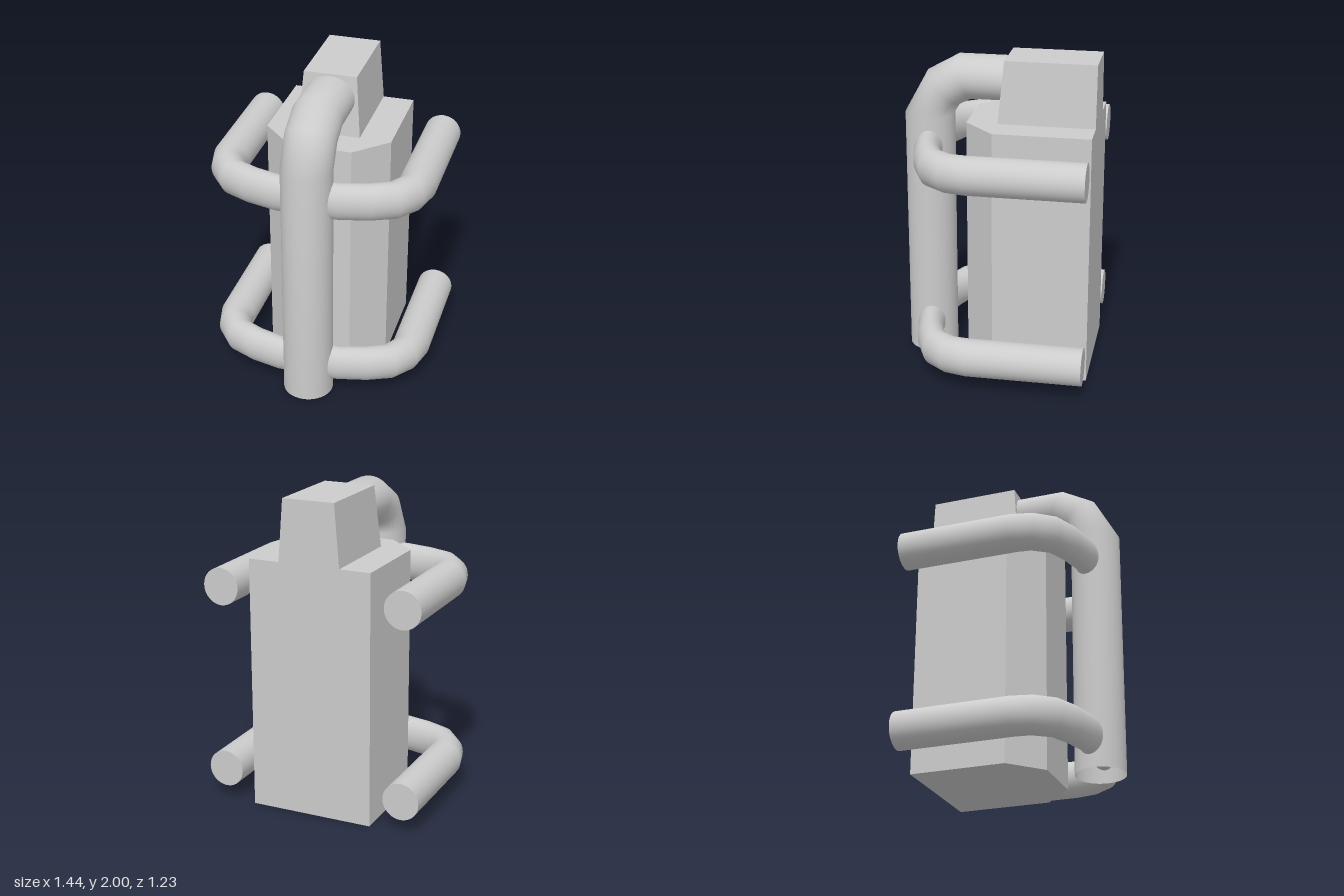
import * as THREE from 'three';

const grey = new THREE.MeshStandardMaterial({ color: 0xcccccc });
const greyOpen = new THREE.MeshStandardMaterial({ color: 0xcccccc, side: THREE.DoubleSide });
const greyFlat = new THREE.MeshStandardMaterial({ color: 0xcccccc, flatShading: true });
const V = (x, y, z) => new THREE.Vector3(x, y, z);

// Bent pipe: each ring is an ellipse spanning an [outer, inner] pair of points,
// with 'side' as its second half axis
function pipe(rings, side, capped, sides = 32) {
  const pos = [], index = [];
  const addRing = ([outer, inner]) => {
    const mid = outer.clone().add(inner).multiplyScalar(0.5);
    const half = outer.clone().sub(mid);
    for (let j = 0; j < sides; j++) {
      const a = (j / sides) * Math.PI * 2;
      const p = mid.clone().addScaledVector(half, Math.cos(a)).addScaledVector(side, Math.sin(a));
      pos.push(p.x, p.y, p.z);
    }
    return mid;
  };
  rings.forEach(addRing);
  for (let i = 0; i < rings.length - 1; i++) {
    for (let j = 0; j < sides; j++) {
      const k = (j + 1) % sides;
      const a = i * sides + j, b = i * sides + k, c = b + sides, d = a + sides;
      index.push(a, b, c, a, c, d);
    }
  }
  // Flat end caps on their own vertices keep the rims sharp
  if (capped) {
    [rings[0], rings[rings.length - 1]].forEach((ring, end) => {
      const start = pos.length / 3;
      const mid = addRing(ring);
      pos.push(mid.x, mid.y, mid.z);
      for (let j = 0; j < sides; j++) {
        const a = start + j, b = start + (j + 1) % sides;
        index.push(start + sides, end ? a : b, end ? b : a);
      }
    });
  }
  const geo = new THREE.BufferGeometry();
  geo.setAttribute('position', new THREE.Float32BufferAttribute(pos, 3));
  geo.setIndex(index);
  geo.computeVertexNormals();
  return geo;
}

export function createModel() {
  const model = new THREE.Group();
  const add = (name, geo, mat) => {
    const mesh = new THREE.Mesh(geo, mat);
    mesh.name = name;
    model.add(mesh);
    return mesh;
  };

  // Main body: box with chamfered front corners, extruded upwards
  const plan = new THREE.Shape(
    [[-0.4, 0.615], [0.4, 0.615], [0.4, 0.01], [0.2, -0.185], [-0.2, -0.185], [-0.4, 0.01]]
      .map(([x, y]) => new THREE.Vector2(x, y)));
  const body = new THREE.ExtrudeGeometry(plan, { depth: 1.61, bevelEnabled: false });
  body.rotateX(-Math.PI / 2);
  add('body', body, greyFlat);

  // Top block: sides and front lean inwards, back stays upright
  const block = new THREE.BoxGeometry(0.4, 0.39, 0.605);
  block.translate(0, 1.805, -0.3125);
  const p = block.attributes.position;
  for (let i = 0; i < p.count; i++) {
    if (p.getY(i) < 1.8) continue;
    p.setX(i, Math.sign(p.getX(i)) * 0.168);
    if (p.getZ(i) > -0.3) p.setZ(i, -0.045);
  }
  add('topBlock', block, greyFlat);

  // Front pipe: rises from the ground and bends back into the top block
  const spine = [
    [[0, 0.615], [0, 0.3]],
    [[1.61, 0.615], [1.61, 0.3]],
    [[1.88, 0.467], [1.67, 0.265]],
    [[1.99, 0.27], [1.71, 0.186]],
    [[1.99, -0.04], [1.71, -0.02]],
  ].map(pair => pair.map(([y, z]) => V(0, y, z)));
  add('frontPipe', pipe(spine, V(0.16, 0, 0), false), greyOpen);

  // Side rails: two horizontal hoops passing through the front pipe
  const half = [
    [[0.72, -0.615], [0.485, -0.615]],
    [[0.72, 0.11], [0.485, 0.11]],
    [[0.677, 0.27], [0.487, 0.178]],
    [[0.57, 0.403], [0.433, 0.267]],
    [[0.406, 0.474], [0.32, 0.317]],
    [[0.197, 0.52], [0.197, 0.354]],
  ];
  const mirrored = half.map(pair => pair.map(([x, z]) => [-x, z])).reverse();
  const hoop = [...half, ...mirrored].map(pair => pair.map(([x, z]) => V(x, 0, z)));
  const rail = pipe(hoop, V(0, 0.119, 0), true);
  add('lowerRail', rail, grey).position.y = 0.204;
  add('upperRail', rail, grey).position.y = 1.41;

  return model;
}
